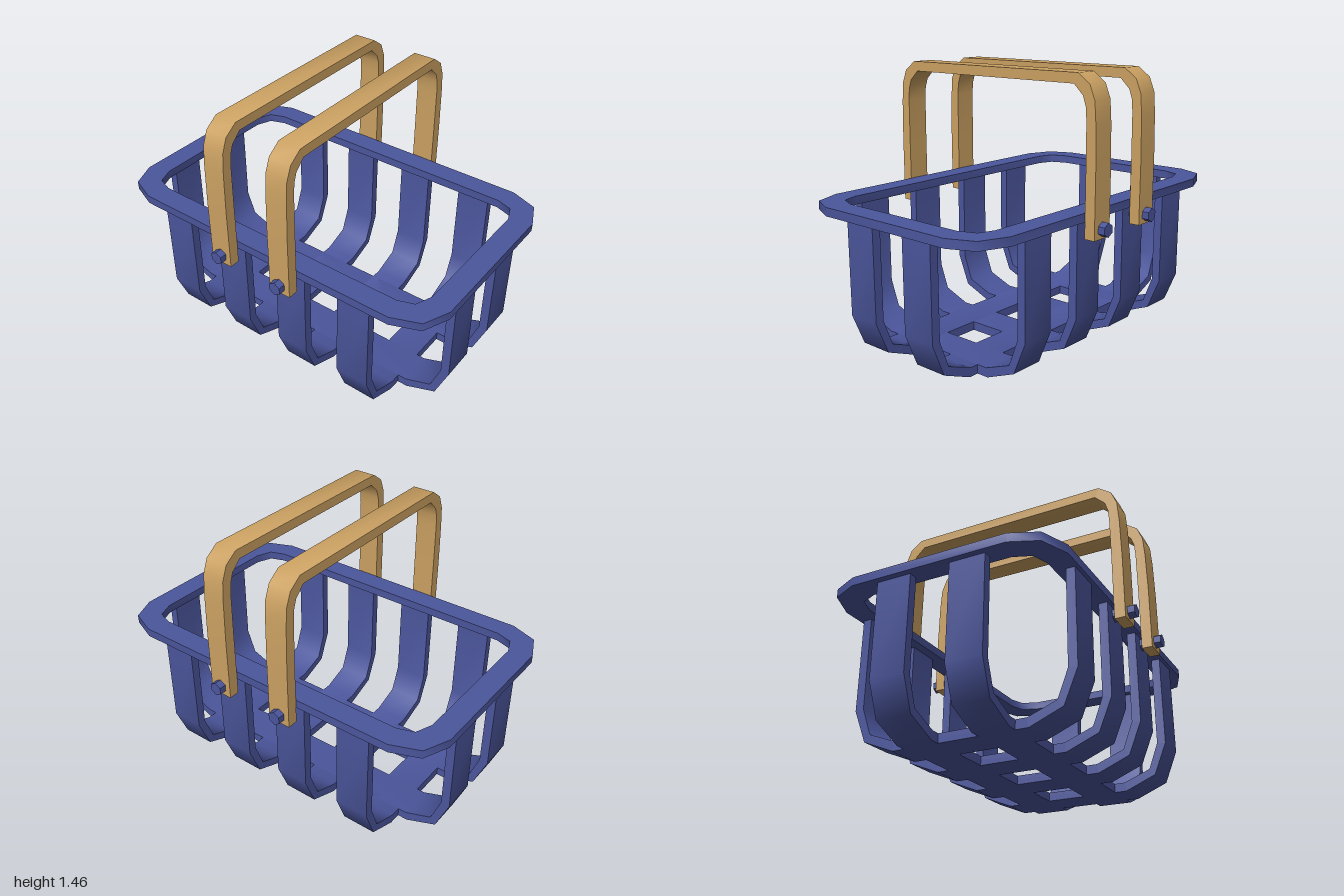
import * as THREE from 'three';
import { toCreasedNormals } from 'three/addons/utils/BufferGeometryUtils.js';

const blue = new THREE.MeshStandardMaterial({ name: 'blue plastic', color: 0x4b569c });
const tan = new THREE.MeshStandardMaterial({ name: 'tan handle', color: 0xcba162 });

// Mirrors a half outline across x = 0: the points run from the right side to the middle.
const mirrored = (half) => [...half, ...half.map(([x, y]) => [-x, y]).reverse()];

const toVectors = (points) => points.map(([x, y]) => new THREE.Vector2(x, y));

// Extrudes a shape along z, centred, smooth over gentle bends and sharp at the edges.
function slab(shape, depth) {
  const geometry = new THREE.ExtrudeGeometry(shape, { depth, bevelEnabled: false });
  geometry.translate(0, 0, -depth / 2);
  return toCreasedNormals(geometry, 0.95);
}

// A bent strip between an outer and an inner half outline.
function strip(outer, inner, depth) {
  return slab(new THREE.Shape(toVectors([...mirrored(outer), ...mirrored(inner).reverse()])), depth);
}

// A U-shaped basket slat reaching out to the given half length.
function slat(reach, width) {
  const outer = [[reach, 0.745], [reach, 0.24], [reach - 0.07, 0.07], [reach - 0.24, 0]];
  const inner = [[reach - 0.047, 0.745], [reach - 0.047, 0.245], [reach - 0.1, 0.105], [reach - 0.248, 0.048]];
  return strip(outer, inner, width);
}

// Closed outline with the corner points repeated in all four quadrants.
function ring(corner) {
  const half = mirrored(corner);
  return toVectors([...half, ...half.map(([x, y]) => [-x, -y])]);
}

export function createModel() {
  const group = new THREE.Group();
  function add(name, geometry, material, x = 0, y = 0, z = 0) {
    const mesh = new THREE.Mesh(geometry, material);
    mesh.name = name;
    mesh.position.set(x, y, z);
    group.add(mesh);
    return mesh;
  }

  // Flat rim with chamfered corners
  const rimShape = new THREE.Shape(ring([[0.62, 0.79], [0.56, 0.94], [0.42, 1]]));
  rimShape.holes.push(new THREE.Path(ring([[0.5, 0.757], [0.47, 0.843], [0.38, 0.878]])));
  const rim = slab(rimShape, 0.046);
  rim.rotateX(-Math.PI / 2);
  add('rim', rim, blue, 0, 0.763, 0);

  // Slats running side to side
  const crossSlat = slat(0.6, 0.186);
  for (const z of [-0.58, -0.194, 0.194, 0.58]) add('crossSlat', crossSlat, blue, 0, 0, z);

  // Slats running front to back
  const longSlat = slat(0.967, 0.188);
  longSlat.rotateY(Math.PI / 2);
  for (const x of [-0.2, 0.2]) add('longSlat', longSlat, blue, x, 0, 0);

  // Two arched handles, each held by a hexagonal bolt on either side
  const handle = strip(
    [[0.68, 0.655], [0.68, 1], [0.675, 1.22], [0.667, 1.33], [0.637, 1.405], [0.567, 1.455]],
    [[0.622, 0.655], [0.622, 1], [0.62, 1.235], [0.615, 1.3], [0.598, 1.35], [0.544, 1.402]],
    0.125
  );
  const bolt = toCreasedNormals(new THREE.CylinderGeometry(0.037, 0.037, 0.13, 6), 0.5);
  bolt.rotateY(Math.PI / 2);
  bolt.rotateZ(Math.PI / 2);
  for (const z of [-0.194, 0.194]) {
    add('handle', handle, tan, 0, 0, z);
    for (const side of [-1, 1]) add('bolt', bolt, blue, side * 0.653, 0.705, z);
  }
  return group;
}
